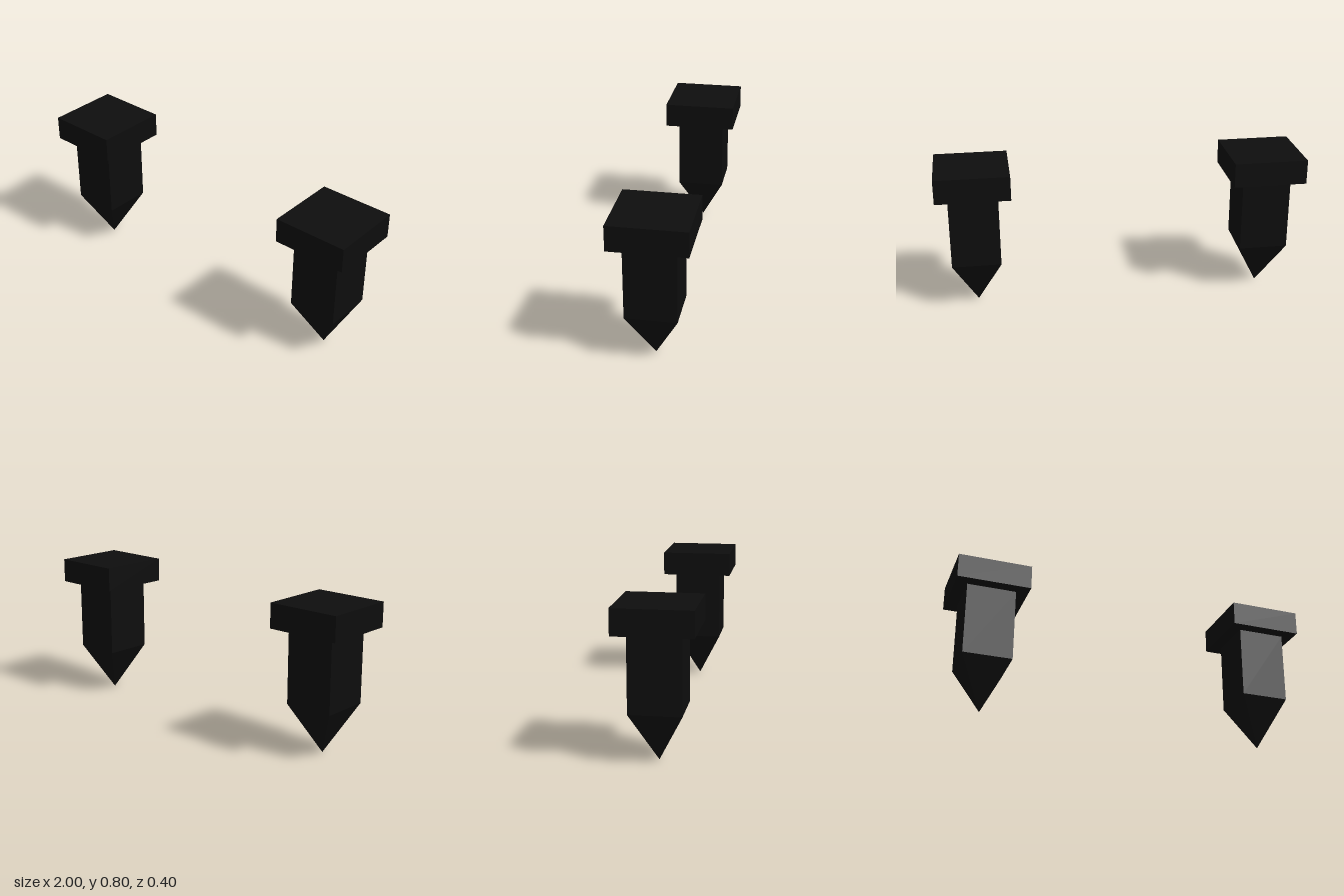
import * as THREE from 'three';

const UNIT = 0.4 / 3; // head thickness; every other size is a multiple of it

export function createModel() {
  const black = new THREE.MeshStandardMaterial({ color: 0x0d0d0d });
  black.name = 'black';

  // Square head, square shaft and a four-sided point facing down
  const headGeometry = new THREE.BoxGeometry(3 * UNIT, UNIT, 3 * UNIT);
  const shaftGeometry = new THREE.BoxGeometry(2 * UNIT, 3 * UNIT, 2 * UNIT);
  const tipGeometry = new THREE.ConeGeometry(Math.SQRT2 * UNIT, 2 * UNIT, 4, 1, true)
    .rotateY(Math.PI / 4)
    .rotateX(Math.PI)
    .toNonIndexed();
  tipGeometry.computeVertexNormals(); // flat faces

  const addPart = (parent, name, geometry, y) => {
    const mesh = new THREE.Mesh(geometry, black);
    mesh.name = name;
    mesh.position.y = y;
    parent.add(mesh);
  };

  const model = new THREE.Group();
  model.name = 'spikes';

  // One spike on each side
  for (const [name, x] of [['leftSpike', 0.8], ['rightSpike', -0.8]]) {
    const spike = new THREE.Group();
    spike.name = name;
    spike.position.x = x;
    addPart(spike, 'head', headGeometry, 5.5 * UNIT);
    addPart(spike, 'shaft', shaftGeometry, 3.5 * UNIT);
    addPart(spike, 'tip', tipGeometry, UNIT);
    model.add(spike);
  }
  return model;
}
